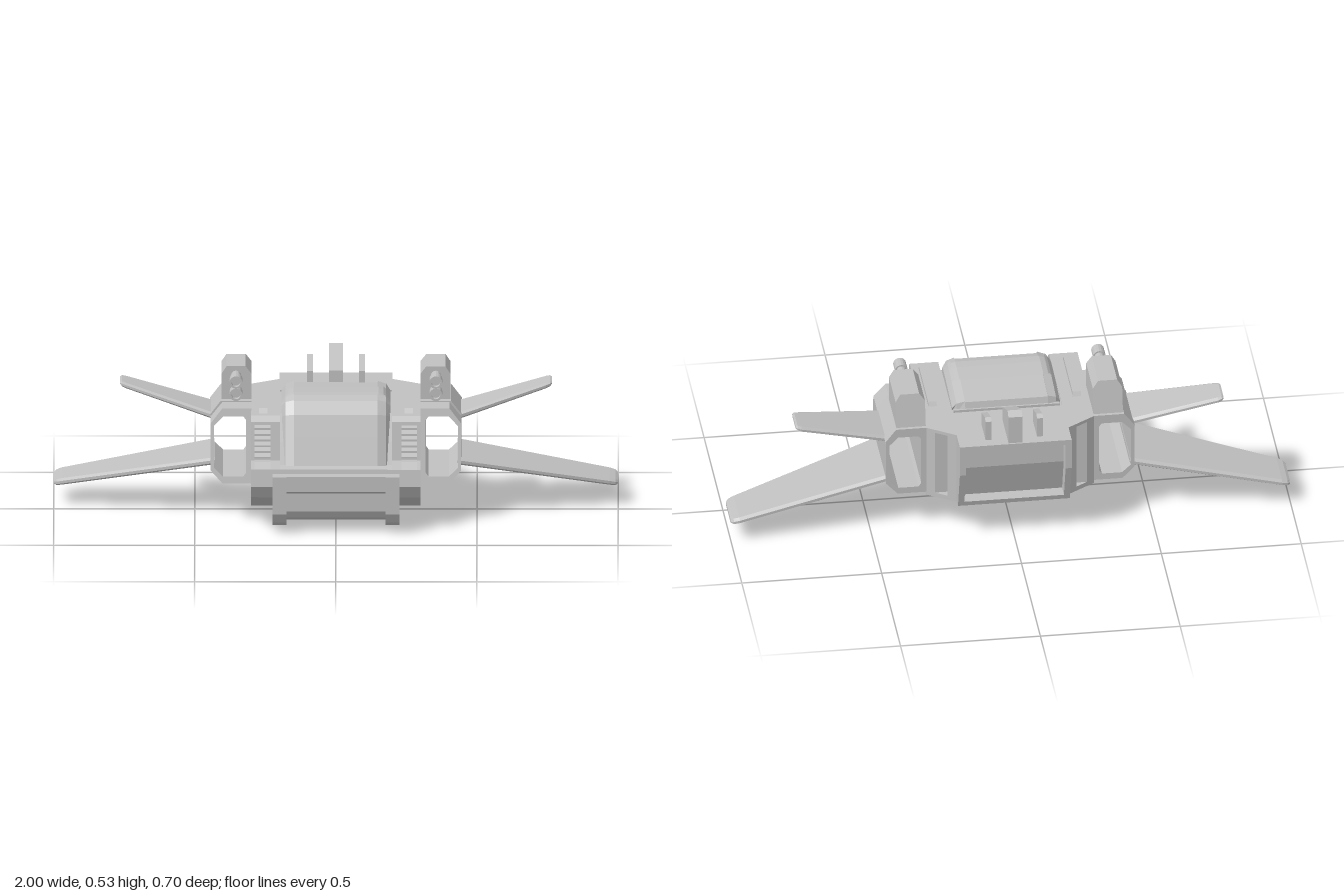
import * as THREE from 'three';

const hull = new THREE.MeshStandardMaterial({ color: 0xc0c0c0 });
hull.name = 'hullGrey';

const toShape = pts => new THREE.Shape(pts.map(p => new THREE.Vector2(p[0], p[1])));
const extrude = (shape, depth) => new THREE.ExtrudeGeometry(shape, { depth, bevelEnabled: false });

// Side profile [z, y] extruded from x0 to x1
const sideSlab = (pts, x0, x1) => extrude(toShape(pts), x1 - x0).rotateY(-Math.PI / 2).translate(x1, 0, 0);
// Plan profile [x, z] extruded from y0 to y1
const planSlab = (pts, y0, y1) => extrude(toShape(pts), y1 - y0).rotateX(Math.PI / 2).translate(0, y1, 0);
// Front profile [x, y] extruded from z0 to z1, ends moved by functions of y
function frontSlab(shape, z0, z1) {
  const g = extrude(shape, 1), p = g.attributes.position;
  for (let i = 0; i < p.count; i++) p.setZ(i, p.getZ(i) > 0.5 ? z1(p.getY(i)) : z0(p.getY(i)));
  return g;
}
const box = (x0, x1, y0, y1, z0, z1) =>
  new THREE.BoxGeometry(x1 - x0, y1 - y0, z1 - z0).translate((x0 + x1) / 2, (y0 + y1) / 2, (z0 + z1) / 2);

// Skin between matching cross-sections
function loft(sections, closed) {
  const v = [], n = sections[0].length;
  const tri = (...t) => t.forEach(p => v.push(...p));
  for (let i = 0; i < sections.length - 1; i++) {
    for (let j = 0; j < (closed ? n : n - 1); j++) {
      const k = (j + 1) % n, s = sections[i], t = sections[i + 1];
      tri(s[j], s[k], t[k]);
      tri(s[j], t[k], t[j]);
    }
  }
  if (closed) {
    const s = sections[0], t = sections[sections.length - 1];
    for (let j = 1; j < n - 1; j++) {
      tri(s[0], s[j + 1], s[j]);
      tri(t[0], t[j], t[j + 1]);
    }
  }
  const g = new THREE.BufferGeometry();
  g.setAttribute('position', new THREE.Float32BufferAttribute(v, 3));
  return g;
}

// Wing with bevelled rim; stations are [x, y, leadZ, trailZ, halfThickness]
const wing = stations => loft(stations.map(([x, y, a, b, t]) => {
  const c = 0.012, e = t * 0.4;
  return [[b, -e], [b, e], [b + c, t], [a - c, t], [a, e], [a, -e], [a - c, -t], [b + c, -t]]
    .map(([z, dy]) => [x, y + dy, z]);
}), true);

// Curved canopy strip; rows are [x, drop below the profile]
const CANOPY = [[-0.112, 0.405], [-0.1, 0.443], [0.03, 0.458], [0.11, 0.463], [0.15, 0.462], [0.19, 0.45],
  [0.222, 0.405], [0.25, 0.33], [0.285, 0.235]];
function canopyStrip(rows, from, to) {
  return loft(CANOPY.slice(from, to).map(([z, y], i) => {
    const k = i + from, a = CANOPY[Math.max(k - 1, 0)], b = CANOPY[Math.min(k + 1, CANOPY.length - 1)];
    const l = Math.hypot(b[0] - a[0], b[1] - a[1]), nz = -(b[1] - a[1]) / l, ny = (b[0] - a[0]) / l;
    return rows.map(([x, d]) => [x, y - ny * d, z - nz * d]);
  }), false);
}

function flip(g) {
  const m = g.clone().scale(-1, 1, 1), p = m.attributes.position;
  for (let i = 0; i < p.count; i += 3) {
    const a = new THREE.Vector3().fromBufferAttribute(p, i + 1), b = new THREE.Vector3().fromBufferAttribute(p, i + 2);
    p.setXYZ(i + 1, b.x, b.y, b.z);
    p.setXYZ(i + 2, a.x, a.y, a.z);
  }
  m.computeVertexNormals();
  return m;
}

export function createModel() {
  const model = new THREE.Group();
  model.name = 'gunship';
  const add = (name, geo) => {
    const g = geo.index ? geo.toNonIndexed() : geo;
    g.computeVertexNormals();
    const mesh = new THREE.Mesh(g, hull);
    mesh.name = name;
    model.add(mesh);
    return g;
  };
  const pair = (name, geo) => {
    const g = add(name + 'Left', geo), mesh = new THREE.Mesh(flip(g), hull);
    mesh.name = name + 'Right';
    model.add(mesh);
  };

  // Centre hull, with an inset rear face
  add('centreHull', sideSlab([[0.19, 0.402], [0.235, 0.31], [0.27, 0.235], [0.3, 0.225], [0.31, 0.165], [0.285, 0.12],
    [0.187, 0.064], [-0.2, 0.128], [-0.25, 0.136], [-0.3, 0.29], [-0.3, 0.407], [-0.11, 0.407], [-0.11, 0.402]], -0.2, 0.2));

  // Frame around the rear exhaust recess
  pair('exhaustSide', sideSlab([[-0.24, 0.135], [-0.3, 0.135], [-0.35, 0.29], [-0.35, 0.407], [-0.24, 0.407]], 0.178, 0.2));
  add('exhaustTop', box(-0.178, 0.178, 0.388, 0.407, -0.35, -0.29));
  add('exhaustBottom', sideSlab([[-0.24, 0.135], [-0.3, 0.135], [-0.306, 0.154], [-0.24, 0.154]], -0.178, 0.178));

  // Cheeks beside the canopy, with louvred vents
  const back = [[0.285, 0.12], [0.187, 0.063], [-0.2, 0.128], [-0.2, 0.407]];
  const cheek = [[0.24, 0.407], [0.26, 0.39], [0.285, 0.255], [0.3, 0.225], [0.31, 0.165], ...back];
  const ventCheek = [[0.24, 0.407], [0.26, 0.39], [0.262, 0.378], [0.235, 0.378], [0.258, 0.25], [0.286, 0.25],
    [0.3, 0.225], [0.31, 0.165], ...back];
  pair('innerCheek', sideSlab(cheek, 0.198, 0.232));
  pair('outerCheek', sideSlab(cheek, 0.288, 0.3));
  pair('ventCheek', sideSlab(ventCheek, 0.232, 0.288));
  for (let i = 0; i < 6; i++) {
    const y = 0.264 + i * 0.02, z = 0.285 - (y - 0.255) * 0.185;
    pair('ventSlat' + i, sideSlab([[z - 0.03, y + 0.006], [z - 0.004, y - 0.004], [z - 0.004, y + 0.003], [z - 0.03, y + 0.013]], 0.23, 0.29));
  }

  // Rear corners with a tall recess
  const corner = [[0.2, -0.195], [0.3, -0.195], [0.3, -0.2], [0.2, -0.265]];
  pair('rearCornerTop', planSlab(corner, 0.395, 0.407));
  pair('rearCornerBottom', planSlab(corner, 0.13, 0.147));
  pair('rearCorner', planSlab([[0.19, -0.195], [0.3, -0.195], [0.3, -0.2], [0.272, -0.218], [0.212, -0.218],
    [0.212, -0.245], [0.231, -0.245], [0.2, -0.265], [0.19, -0.265]], 0.147, 0.395));

  // Canopy and its notched side frames
  add('canopy', canopyStrip([[0.19, 0.09], [0.19, 0.034], [0.176, 0.013], [0.15, 0.004], [-0.15, 0.004],
    [-0.176, 0.013], [-0.19, 0.034], [-0.19, 0.09]], 0, 9));
  const frame = inner => [[0.193, 0.06], [0.193, 0.032], [0.178, 0.009], [inner, -0.001], [inner, 0.012]];
  pair('canopyRearFrame', canopyStrip(frame(0.148), 0, 3));
  pair('canopyMidFrame', canopyStrip(frame(0.168), 2, 5));
  pair('canopyFrontFrame', canopyStrip(frame(0.148), 4, 9));
  add('canopyRearWall', box(-0.19, 0.19, 0.4, 0.416, -0.112, -0.1));

  // Long rails on the cheeks
  pair('topRail', sideSlab([[0.21, 0.405], [0.19, 0.422], [-0.05, 0.422], [-0.06, 0.405]], 0.243, 0.273));

  // Chin scoop: inset centre panel between two raised rails
  pair('chinRail', sideSlab([[0.29, 0.21], [0.353, 0.21], [0.353, 0.075], [0.332, 0.04], [0.305, 0.023], [0.2, 0.001],
    [0.13, 0.004], [-0.04, 0.05], [-0.04, 0.1], [0.18, 0.075], [0.28, 0.125]], 0.175, 0.225));
  add('chinPanel', sideSlab([[0.29, 0.21], [0.342, 0.21], [0.342, 0.155], [0.328, 0.145], [0.328, 0.08], [0.312, 0.053],
    [0.29, 0.04], [0.2, 0.02], [0.13, 0.023], [-0.03, 0.068], [-0.03, 0.1], [0.18, 0.075], [0.28, 0.125]], -0.176, 0.176));

  // Side ducts, open from front to back, with a raked mouth
  const duct = toShape([[0.298, 0.142], [0.402, 0.142], [0.444, 0.187], [0.444, 0.35], [0.402, 0.403], [0.298, 0.403]]);
  duct.holes.push(new THREE.Path([[0.318, 0.18], [0.318, 0.362], [0.328, 0.374], [0.4, 0.374], [0.432, 0.342],
    [0.432, 0.196], [0.4, 0.166], [0.328, 0.166]].map(p => new THREE.Vector2(...p))));
  pair('sideDuct', frontSlab(duct, () => -0.2, y => 0.178 - (y - 0.142) * 0.21));
  pair('ductShoulder', frontSlab(toShape([[0.3, 0.39], [0.402, 0.39], [0.44, 0.345], [0.446, 0.357], [0.408, 0.407], [0.3, 0.407]]),
    () => -0.2, () => 0.035));

  // Gun housings and paired barrels
  pair('gunHousing', frontSlab(toShape([[0.3, 0.4], [0.405, 0.4], [0.405, 0.5], [0.388, 0.527], [0.32, 0.527], [0.3, 0.5]]),
    y => -0.16 - (0.527 - y) * 0.23, () => 0.01));
  for (const [name, y, neck, tip] of [['upper', 0.493, 0.058, 0.108], ['lower', 0.44, 0.027, 0.078]]) {
    const tube = (r, z0, z1) => new THREE.CylinderGeometry(r, r, z1 - z0, 16).rotateX(Math.PI / 2).translate(0.354, y, (z0 + z1) / 2);
    pair(name + 'Barrel', tube(0.018, 0, neck + 0.01));
    const muzzle = new THREE.LatheGeometry([[0, neck], [0.023, neck], [0.023, tip], [0.016, tip], [0.016, tip - 0.02], [0, tip - 0.02]]
      .map(p => new THREE.Vector2(...p)), 16).rotateX(Math.PI / 2).translate(0.354, y, 0);
    pair(name + 'Muzzle', muzzle);
  }

  // Wings
  pair('lowerWing', wing([[0.43, 0.2, 0.095, -0.192, 0.013], [0.97, 0.085, -0.052, -0.224, 0.012],
    [0.99, 0.08, -0.06, -0.22, 0.011], [1, 0.078, -0.075, -0.21, 0.006]]));
  pair('upperWing', wing([[0.43, 0.346, 0.03, -0.167, 0.012], [0.745, 0.43, -0.078, -0.198, 0.01],
    [0.758, 0.434, -0.085, -0.195, 0.009], [0.765, 0.436, -0.095, -0.187, 0.005]]));

  // Dorsal fins
  add('centreFin', sideSlab([[-0.18, 0.4], [-0.182, 0.46], [-0.315, 0.526], [-0.34, 0.511], [-0.344, 0.4]], -0.025, 0.025));
  pair('sideFin', sideSlab([[-0.2, 0.4], [-0.2, 0.454], [-0.294, 0.491], [-0.31, 0.481], [-0.312, 0.4]], 0.081, 0.103));

  return model;
}
